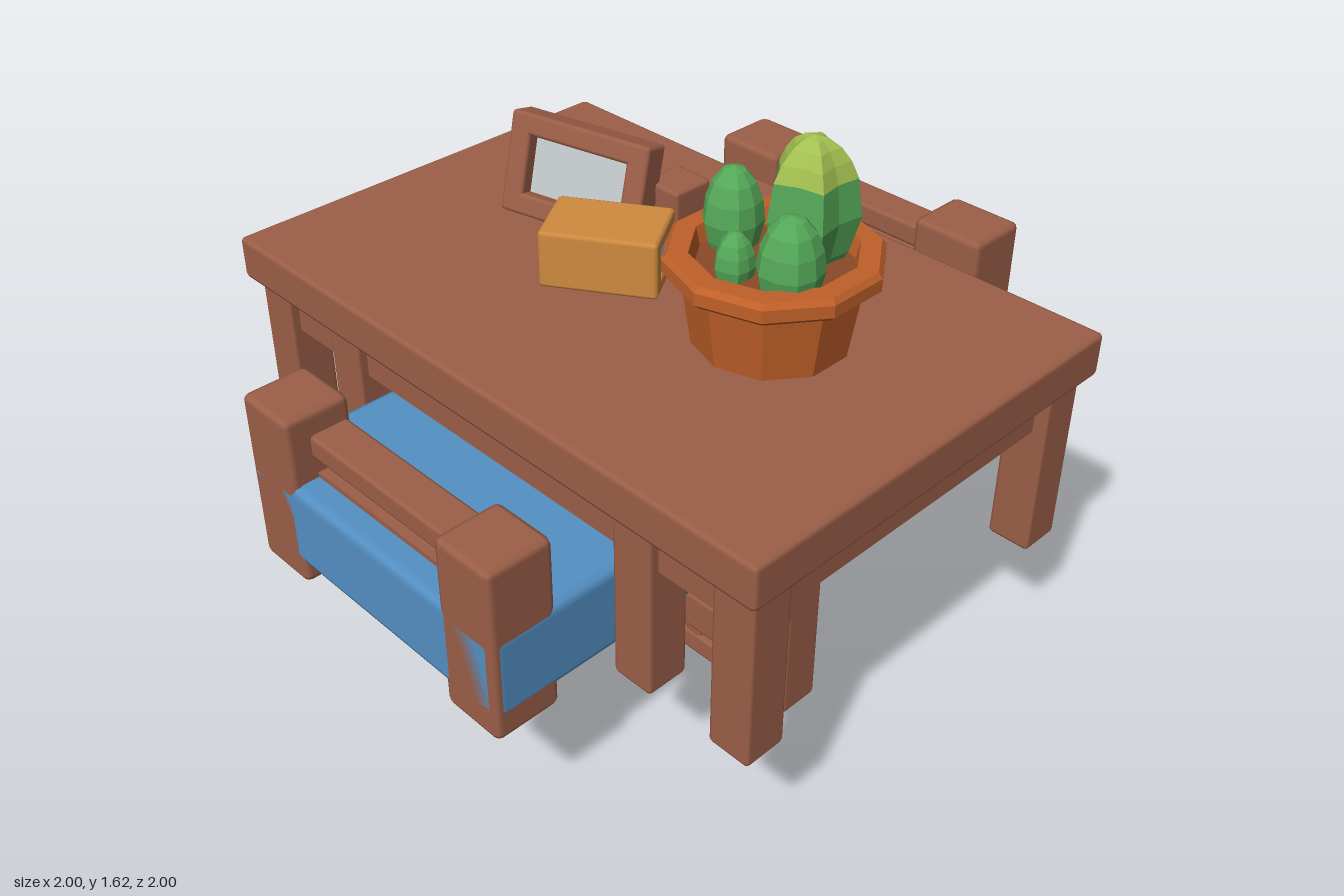
import * as THREE from 'three';
import { RoundedBoxGeometry } from 'three/addons/geometries/RoundedBoxGeometry.js';

const mat = (name, color, extra = {}) => {
  const m = new THREE.MeshStandardMaterial({ color, ...extra });
  m.name = name;
  return m;
};

export function createModel() {
  const model = new THREE.Group();
  const wood = mat('wood', 0x9c5f48);
  const blue = mat('blue cloth', 0x5490c4);
  const grey = mat('pale grey', 0xc2c8ca);
  const orange = mat('orange cover', 0xcf8b3f);
  const clay = mat('terracotta', 0xc06029, { flatShading: true });
  const soil = mat('soil', 0x8a4a28);
  const green = mat('cactus green', 0x55a858, { flatShading: true });
  const lime = mat('cactus lime', 0xa4c050, { flatShading: true });

  // Bevelled box given by its extents
  const box = (parent, name, material, [x0, x1], [y0, y1], [z0, z1], bevel = 0.012) => {
    const w = x1 - x0, h = y1 - y0, d = z1 - z0;
    const g = bevel ? new RoundedBoxGeometry(w, h, d, 1, Math.min(bevel, w / 3, h / 3, d / 3)) : new THREE.BoxGeometry(w, h, d);
    const m = new THREE.Mesh(g, material);
    m.position.set((x0 + x1) / 2, (y0 + y1) / 2, (z0 + z1) / 2);
    m.name = name;
    parent.add(m);
    return m;
  };
  // Two boxes mirrored in x
  const pair = (parent, name, material, [x0, x1], y, z, bevel) => {
    box(parent, name + 'Left', material, [x0, x1], y, z, bevel);
    box(parent, name + 'Right', material, [-x1, -x0], y, z, bevel);
  };
  const group = (name) => {
    const g = new THREE.Group();
    g.name = name;
    model.add(g);
    return g;
  };

  // Table with outer and inner legs
  const table = group('table');
  box(table, 'tabletop', wood, [-1, 1], [0.94, 1.07], [-0.665, 0.665], 0.015);
  for (const [z0, z1] of [[0.5, 0.63], [-0.63, -0.5]]) {
    pair(table, 'outerLeg', wood, [0.84, 0.97], [0.41, 0.945], [z0, z1]);
    pair(table, 'innerLeg', wood, [0.51, 0.64], [0.41, 0.945], [z0, z1]);
    box(table, 'longApron', wood, [-0.86, 0.86], [0.8, 0.945], [z0 + 0.03, z1 - 0.03], 0);
  }
  pair(table, 'sideApron', wood, [0.87, 0.93], [0.8, 0.945], [-0.52, 0.52], 0);

  // Bed
  const bed = group('bed');
  pair(bed, 'headPost', wood, [0.27, 0.5], [0.41, 1.07], [-1, -0.8], 0.02);
  box(bed, 'headPanel', wood, [-0.3, 0.3], [0.48, 0.9], [-0.94, -0.82], 0);
  box(bed, 'headRail', wood, [-0.3, 0.3], [0.96, 1.03], [-0.94, -0.82]);
  pair(bed, 'footPost', wood, [0.3, 0.5], [0.41, 0.94], [0.8, 1], 0.02);
  box(bed, 'footRail', wood, [-0.32, 0.32], [0.8, 0.87], [0.81, 0.93]);
  box(bed, 'footPanel', wood, [-0.32, 0.32], [0.5, 0.75], [0.82, 0.92], 0);
  pair(bed, 'middleFoot', wood, [0.41, 0.51], [0.41, 0.54], [-0.22, -0.1]);
  box(bed, 'mattress', grey, [-0.495, 0.495], [0.48, 0.73], [-0.81, -0.09], 0.02);
  box(bed, 'blanket', blue, [-0.503, 0.503], [0.475, 0.735], [-0.1, 1], 0.03);

  // Pillow with a chamfered outline
  const outline = new THREE.Shape([[-0.35, 0], [-0.35, 0.06], [-0.27, 0.11], [0.27, 0.11], [0.35, 0.06], [0.35, 0]]
    .reverse().map(([x, y]) => new THREE.Vector2(x, y)));
  const pillow = new THREE.Mesh(new THREE.ExtrudeGeometry(outline,
    { depth: 0.36, bevelEnabled: true, bevelSegments: 1, bevelThickness: 0.06, bevelSize: 0.05 }), grey);
  pillow.name = 'pillow';
  pillow.position.set(0, 0.73, -0.65);
  bed.add(pillow);

  // Cabinet frame standing under the table
  const cabinet = group('cabinet');
  box(cabinet, 'backBoard', wood, [-0.65, 0.65], [0.01, 0.8], [0, 0.05], 0);
  pair(cabinet, 'sideBoard', wood, [0.6, 0.66], [0, 0.8], [0, 0.13]);
  pair(cabinet, 'divider', wood, [0.27, 0.33], [0.03, 0.8], [0.01, 0.125]);
  box(cabinet, 'baseRail', wood, [-0.65, 0.65], [0, 0.07], [0, 0.13]);
  box(cabinet, 'pane', grey, [-0.6, 0.6], [0.07, 0.42], [0.05, 0.058], 0);
  box(cabinet, 'upperCase', wood, [-0.65, 0.65], [0.54, 0.8], [-0.26, 0.26], 0.01);
  box(cabinet, 'drawerFront', wood, [-0.3, 0.3], [0.63, 0.8], [0.25, 0.3]);
  box(cabinet, 'shelf', wood, [-0.66, 0.66], [0.345, 0.46], [0.04, 0.33]);
  // Curved brackets above the shelf ends
  const curve = new THREE.Shape();
  curve.moveTo(0, 0);
  curve.lineTo(0.14, 0);
  curve.quadraticCurveTo(0.02, 0.01, 0.02, 0.15);
  curve.lineTo(0, 0.15);
  for (const x of [-0.66, 0.52]) {
    const b = new THREE.Mesh(new THREE.ExtrudeGeometry(curve, { depth: 0.14, bevelEnabled: false }), wood);
    b.name = 'bracket';
    b.rotation.y = -Math.PI / 2;
    b.position.set(x + 0.14, 0.455, 0.125);
    cabinet.add(b);
  }
  // Small centre frame
  box(cabinet, 'centreFrameBase', wood, [-0.23, 0.23], [0.1, 0.17], [0.05, 0.15]);
  pair(cabinet, 'centreFrameSide', wood, [0.165, 0.23], [0.1, 0.4], [0.05, 0.15]);
  // Row of books through the cabinet
  for (const [x, m] of [[-0.115, wood], [-0.065, orange], [0.055, orange], [0.11, blue], [0.245, blue]])
    box(cabinet, 'shelfBook', m, [x - 0.025, x + 0.025], [0.24, 0.53], [-0.115, 0.09]);
  const leaning = box(cabinet, 'leaningBook', orange, [-0.04, 0.02], [0.3, 0.54], [-0.15, -0.02]);
  leaning.rotation.z = 0.3;
  for (const x of [0.17, -0.3])
    box(cabinet, 'bookendBlock', wood, [x - 0.05, x + 0.05], [0.36, 0.48], [-0.2, -0.08]);

  // Book rest on the tabletop
  const rest = group('bookRest');
  pair(rest, 'restPost', wood, [0.085, 0.215], [1.065, 1.24], [-0.315, -0.18]);
  box(rest, 'restRail', wood, [-0.12, 0.12], [1.065, 1.12], [-0.28, -0.2], 0);
  box(rest, 'restLip', wood, [-0.2, 0.14], [1.065, 1.1], [-0.16, -0.11], 0);

  // Tilted photo frame
  const photo = group('photoFrame');
  photo.position.set(-0.375, 1.075, -0.02);
  photo.rotation.set(-0.28, 0.22, 0, 'YXZ');
  pair(photo, 'photoSide', wood, [0.165, 0.235], [0, 0.3], [-0.09, 0]);
  for (const y of [0, 0.235]) box(photo, 'photoRail', wood, [-0.23, 0.23], [y, y + 0.065], [-0.09, 0]);
  box(photo, 'photoBack', wood, [-0.22, 0.22], [0.01, 0.29], [-0.085, -0.05], 0);
  box(photo, 'photoPicture', grey, [-0.165, 0.165], [0.065, 0.235], [-0.05, -0.043], 0);
  const stand = box(photo, 'photoStand', wood, [-0.06, 0.06], [0, 0.16], [-0.15, -0.1]);
  stand.rotation.x = 0.45;

  // Closed thick book
  const book = group('tableBook');
  book.position.set(-0.11, 1.075, 0.06);
  book.rotation.y = 0.57;
  box(book, 'lowerCover', orange, [-0.165, 0.165], [0, 0.045], [-0.11, 0.11]);
  box(book, 'upperCover', orange, [-0.165, 0.165], [0.125, 0.17], [-0.11, 0.11]);
  box(book, 'spine', orange, [-0.165, 0.165], [0.005, 0.165], [0.06, 0.11]);
  box(book, 'pages', grey, [-0.14, 0.14], [0.04, 0.13], [-0.085, 0.07], 0);

  // Plant pot
  const plant = group('pottedCactus');
  plant.position.set(0.405, 1.07, -0.035);
  const profile = [[0, 0], [0.21, 0], [0.24, 0.2], [0.27, 0.2], [0.287, 0.215], [0.287, 0.25],
    [0.275, 0.265], [0.22, 0.265], [0.205, 0.2]].map(([r, y]) => new THREE.Vector2(r, y));
  const pot = new THREE.Mesh(new THREE.LatheGeometry(profile, 10), clay);
  pot.name = 'pot';
  const earth = new THREE.Mesh(new THREE.CylinderGeometry(0.21, 0.2, 0.02, 10), soil);
  earth.name = 'soil';
  earth.position.y = 0.205;
  plant.add(pot, earth);

  // Ribbed ball: every second column of vertices is pulled inward
  const ribbed = (name, material, x, z, r, bottom, top, valley, from = 0, to = 1) => {
    const g = new THREE.SphereGeometry(1, 10, to - from < 1 ? 4 : 8, 0, Math.PI * 2, from * Math.PI, (to - from) * Math.PI);
    const p = g.attributes.position;
    for (let i = 0; i < p.count; i++) {
      const k = i % 11 % 2 ? valley : 1;
      const taper = p.getY(i) < 0 ? 1 + 0.18 * p.getY(i) : 1;
      p.setX(i, p.getX(i) * k * taper);
      p.setZ(i, p.getZ(i) * k * taper);
    }
    g.computeVertexNormals();
    const m = new THREE.Mesh(g, material);
    m.name = name;
    m.scale.set(r, (top - bottom) / 2, r);
    m.position.set(x, (top + bottom) / 2, z);
    plant.add(m);
  };
  ribbed('tallCactus', green, 0.03, -0.095, 0.128, 0.13, 0.55, 0.72, 0.34, 1);
  ribbed('tallCactusCrown', lime, 0.03, -0.095, 0.128, 0.13, 0.55, 0.72, 0, 0.34);
  ribbed('sideCactus', green, -0.15, -0.005, 0.082, 0.14, 0.435, 0.95);
  ribbed('sideCactus', green, 0.12, 0.08, 0.088, 0.14, 0.43, 0.95);
  ribbed('smallCactus', green, -0.035, 0.11, 0.055, 0.15, 0.335, 0.9);

  return model;
}
